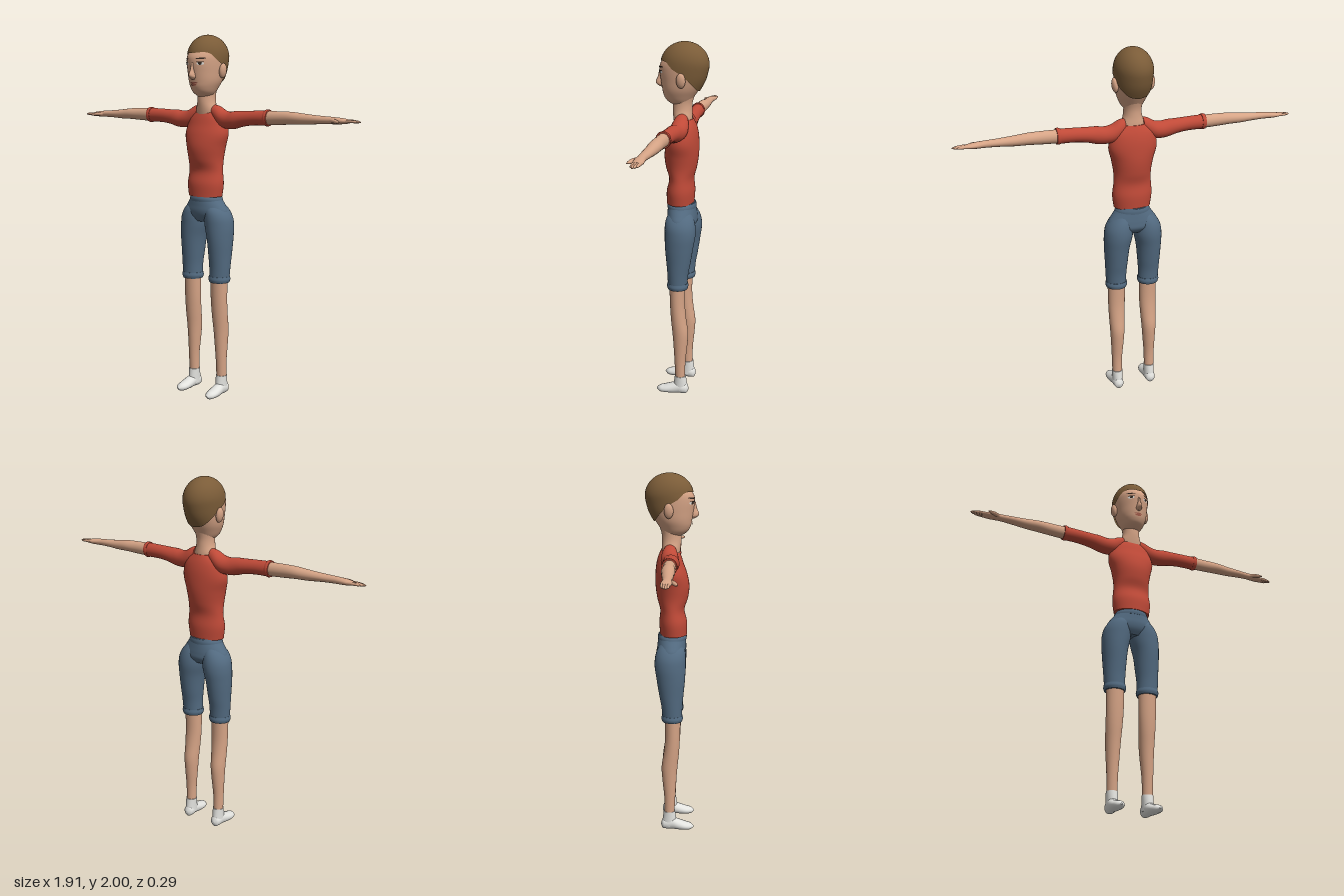
import * as THREE from 'three';

const mat = (name, color, extra = {}) => Object.assign(new THREE.MeshStandardMaterial({ color, ...extra }), { name });

// Smooth interpolation of rows [t, ...values]
function spline(rows) {
  const n = rows[0].length - 1;
  const it = new THREE.CubicInterpolant(rows.map(r => r[0]), rows.flatMap(r => r.slice(1)), n, new Float32Array(n));
  return t => Array.from(it.evaluate(t));
}

// Closed rings stacked from v = 0 to v = 1, with optional flat caps
function rings(fn, nu, nv, caps = true) {
  const pos = [], idx = [];
  const addRing = v => { for (let i = 0; i < nu; i++) pos.push(...fn(i / nu * Math.PI * 2, v)); };
  for (let j = 0; j <= nv; j++) addRing(j / nv);
  for (let j = 0; j < nv; j++) for (let i = 0; i < nu; i++) {
    const a = j * nu + i, b = j * nu + (i + 1) % nu;
    idx.push(a, b, a + nu, b, b + nu, a + nu);
  }
  if (caps) for (const v of [0, 1]) {
    const s = pos.length / 3, c = [0, 0, 0];
    addRing(v);
    for (let i = 0; i < nu; i++) for (let k = 0; k < 3; k++) c[k] += pos[(s + i) * 3 + k] / nu;
    pos.push(...c);
    for (let i = 0; i < nu; i++) {
      const a = s + i, b = s + (i + 1) % nu;
      v ? idx.push(a, b, s + nu) : idx.push(b, a, s + nu);
    }
  }
  const g = new THREE.BufferGeometry();
  g.setAttribute('position', new THREE.Float32BufferAttribute(pos, 3));
  g.setIndex(idx);
  g.computeVertexNormals();
  return g;
}

// Elliptical loft. Rows: [t, centreA, radiusA, centreB, radiusB]
// axis y: a = x, b = z;  axis x: a = z, b = y;  axis z: a = y, b = x
function loft(rows, axis = 'y', nu = 24, nv = rows.length * 4) {
  const f = spline(rows), t0 = rows[0][0], t1 = rows[rows.length - 1][0];
  return rings((u, v) => {
    const t = t0 + (t1 - t0) * v, [ca, ra, cb, rb] = f(t);
    const a = ca + ra * Math.sin(u), b = cb + rb * Math.cos(u);
    return axis === 'y' ? [a, t, b] : axis === 'x' ? [t, b, a] : [b, a, t];
  }, nu, nv);
}

// Upright body section: [y, half width, front z, back z]
const body = (y, rx, zf, zb, cx = 0) => [y, cx, rx, (zf + zb) / 2, (zf - zb) / 2];

function mirrorX(geo) {
  const g = geo.clone().scale(-1, 1, 1), ix = g.index.array;
  for (let i = 0; i < ix.length; i += 3) [ix[i], ix[i + 1]] = [ix[i + 1], ix[i]];
  g.computeVertexNormals();
  return g;
}

export function createModel() {
  const model = new THREE.Group();
  model.name = 'standingFigure';
  const skin = mat('skin', 0xd6a486), shirt = mat('shirtRed', 0xc04a38), denim = mat('trouserBlue', 0x526a80);
  const hair = mat('hairBrown', 0x7b5c38, { side: THREE.DoubleSide }), white = mat('shoeWhite', 0xe2e2de);
  const dark = mat('browDark', 0x33271f), lip = mat('lipRose', 0xa9614f);
  const add = (name, geo, m) => {
    const mesh = new THREE.Mesh(geo, m);
    mesh.name = name;
    model.add(mesh);
  };
  const pair = (name, geo, m) => { add(name + 'Left', geo, m); add(name + 'Right', mirrorX(geo), m); };

  // Head and neck
  const headRows = [
    body(1.668, .034, .045, -.035), body(1.69, .054, .08, -.05), body(1.72, .07, .099, -.07),
    body(1.75, .082, .106, -.09), body(1.8, .091, .114, -.117), body(1.85, .096, .12, -.131),
    body(1.88, .097, .118, -.136), body(1.905, .095, .104, -.13), body(1.93, .08, .085, -.11)];
  add('head', loft(headRows, 'y', 36), skin);
  add('neck', loft([body(1.56, .068, .04, -.055), body(1.6, .064, .046, -.056), body(1.64, .051, .05, -.054),
    body(1.68, .048, .05, -.056), body(1.74, .055, .05, -.075)]), skin);
  add('nose', loft([[1.762, 0, .005, .108, .012], [1.772, 0, .015, .112, .024], [1.785, 0, .015, .114, .03],
    [1.81, 0, .009, .113, .021], [1.85, 0, .007, .112, .012]], 'y', 14), skin);
  pair('ear', new THREE.SphereGeometry(1, 16, 12).scale(.017, .04, .025).rotateZ(-.12).translate(.102, 1.808, -.015), skin);

  // Cropped hair with a sloping hairline, low at the nape
  const headAt = spline(headRows);
  const line = spline([[0, 1.9], [.9, 1.897], [1.25, 1.865], [1.6, 1.84], [2.1, 1.79], [2.6, 1.755], [Math.PI, 1.745]]);
  add('hair', rings((u, v) => {
    const h = line(Math.min(u, Math.PI * 2 - u))[0], y = h + (2 - h) * Math.sin(v * Math.PI / 2);
    let cz = -.015, rx = .103, rz = .13;
    if (y > 1.88) {
      const f = Math.sqrt(Math.max(0, 1 - ((y - 1.88) / .12) ** 2));
      rx *= f; rz *= f;
    } else {
      const [, a, c, b] = headAt(y);
      rx = a + .006; cz = c - .003; rz = b + .006;
    }
    return [rx * Math.sin(u), y, cz + rz * Math.cos(u)];
  }, 40, 20, false), hair);

  // Painted face details, laid onto the curve of the head
  const decal = (x, y, rx, ry, lift, tilt = 0) => {
    const g = new THREE.CircleGeometry(1, 18).scale(rx, ry, 1).rotateZ(tilt).translate(x, y, 0), p = g.attributes.position;
    for (let i = 0; i < p.count; i++) {
      const [, a, c, b] = headAt(p.getY(i));
      p.setZ(i, c + b * Math.sqrt(Math.max(0, 1 - (p.getX(i) / a) ** 2)) + lift);
    }
    g.computeVertexNormals();
    return g;
  };
  pair('eye', decal(.045, 1.845, .017, .008, .002), white);
  pair('iris', decal(.045, 1.845, .008, .008, .004), dark);
  pair('eyelid', decal(.045, 1.853, .019, .0025, .005), dark);
  pair('brow', decal(.047, 1.871, .023, .004, .004, .08), dark);
  add('upperLip', decal(0, 1.744, .024, .005, .004), lip);
  add('lowerLip', decal(0, 1.734, .018, .006, .005), lip);

  // Shirt
  add('shirtBody', loft([
    body(1.13, .103, .082, -.066), body(1.2, .112, .082, -.07), body(1.27, .106, .068, -.065),
    body(1.33, .105, .086, -.08), body(1.4, .117, .094, -.09), body(1.47, .135, .081, -.09),
    body(1.52, .127, .063, -.085), body(1.56, .11, .05, -.075), body(1.595, .068, .035, -.06)], 'y', 36), shirt);
  pair('sleeve', loft([
    [.052, -.01, .035, 1.59, .038], [.08, -.01, .043, 1.572, .05], [.12, -.008, .048, 1.552, .048], [.16, -.004, .047, 1.546, .046],
    [.2, 0, .045, 1.549, .047], [.25, 0, .042, 1.556, .041], [.32, 0, .038, 1.562, .038], [.41, 0, .036, 1.564, .039]], 'x'), shirt);
  pair('sleeveCuff', loft([[.4, 0, .038, 1.565, .041], [.41, 0, .04, 1.565, .044], [.421, 0, .038, 1.565, .042]], 'x'), shirt);

  // Arms and hands
  pair('arm', loft([
    [.4, 0, .033, 1.564, .036], [.5, 0, .032, 1.566, .034], [.57, 0, .034, 1.567, .031], [.64, .001, .03, 1.564, .027],
    [.72, .003, .026, 1.563, .021], [.79, .004, .022, 1.562, .018], [.82, .004, .025, 1.561, .017],
    [.86, .001, .026, 1.56, .014], [.89, 0, .021, 1.559, .009]], 'x'), skin);
  [-.017, -.006, .005, .016].forEach((z, i) => {
    const tip = [.934, .95, .956, .944][i];
    pair('finger' + (i + 1), loft([[.86, z, .008, 1.56, .008], [.91, z * .9, .007, 1.56, .007],
      [tip - .008, z * .75, .0055, 1.558, .005], [tip, z * .7, .001, 1.557, .001]], 'x', 10), skin);
  });
  pair('thumb', loft([[.795, .015, .012, 1.56, .011], [.825, .032, .013, 1.56, .01],
    [.85, .044, .009, 1.557, .008], [.868, .052, .002, 1.555, .002]], 'x', 12), skin);

  // Cropped trousers
  add('trouserHips', loft([
    body(.99, .1, .05, -.06), body(1.02, .138, .07, -.082), body(1.05, .14, .078, -.083),
    body(1.08, .121, .078, -.08), body(1.11, .099, .077, -.076), body(1.135, .086, .074, -.072)], 'y', 36), denim);
  add('waistband', loft([body(1.103, .1, .079, -.077), body(1.118, .097, .081, -.078), body(1.133, .088, .078, -.076)], 'y', 36), denim);
  pair('trouserLeg', loft([
    body(.67, .057, .058, -.05, .096), body(.74, .059, .06, -.056, .098), body(.8, .063, .065, -.067, .097),
    body(.9, .071, .074, -.083, .094), body(.97, .079, .077, -.093, .086), body(1.02, .076, .077, -.09, .08),
    body(1.06, .062, .07, -.078, .07), body(1.09, .04, .05, -.06, .06)], 'y', 28), denim);
  pair('trouserCuff', loft([body(.656, .057, .059, -.052, .096), body(.672, .062, .063, -.056, .096),
    body(.69, .059, .06, -.053, .096)], 'y', 28), denim);

  // Lower legs
  pair('leg', loft([
    body(.09, .028, .016, -.04, .1), body(.2, .03, .021, -.041, .1), body(.3, .036, .027, -.051, .098),
    body(.38, .041, .033, -.056, .097), body(.46, .045, .041, -.045, .096), body(.54, .048, .046, -.037, .095),
    body(.68, .05, .05, -.038, .095)]), skin);

  // Shoes: ankle part and foot
  pair('shoeAnkle', loft([body(.03, .03, .03, -.055, .1), body(.07, .03, .026, -.05, .1), body(.115, .031, .02, -.044, .1)]), white);
  pair('shoeFoot', loft([
    [-.059, .036, .006, .1, .006], [-.053, .037, .024, .1, .02], [-.035, .039, .033, .1, .029], [0, .042, .036, .102, .03],
    [.04, .034, .03, .104, .034], [.08, .027, .023, .105, .033], [.11, .024, .017, .106, .022], [.126, .023, .004, .106, .005]], 'z'), white);

  return model;
}
